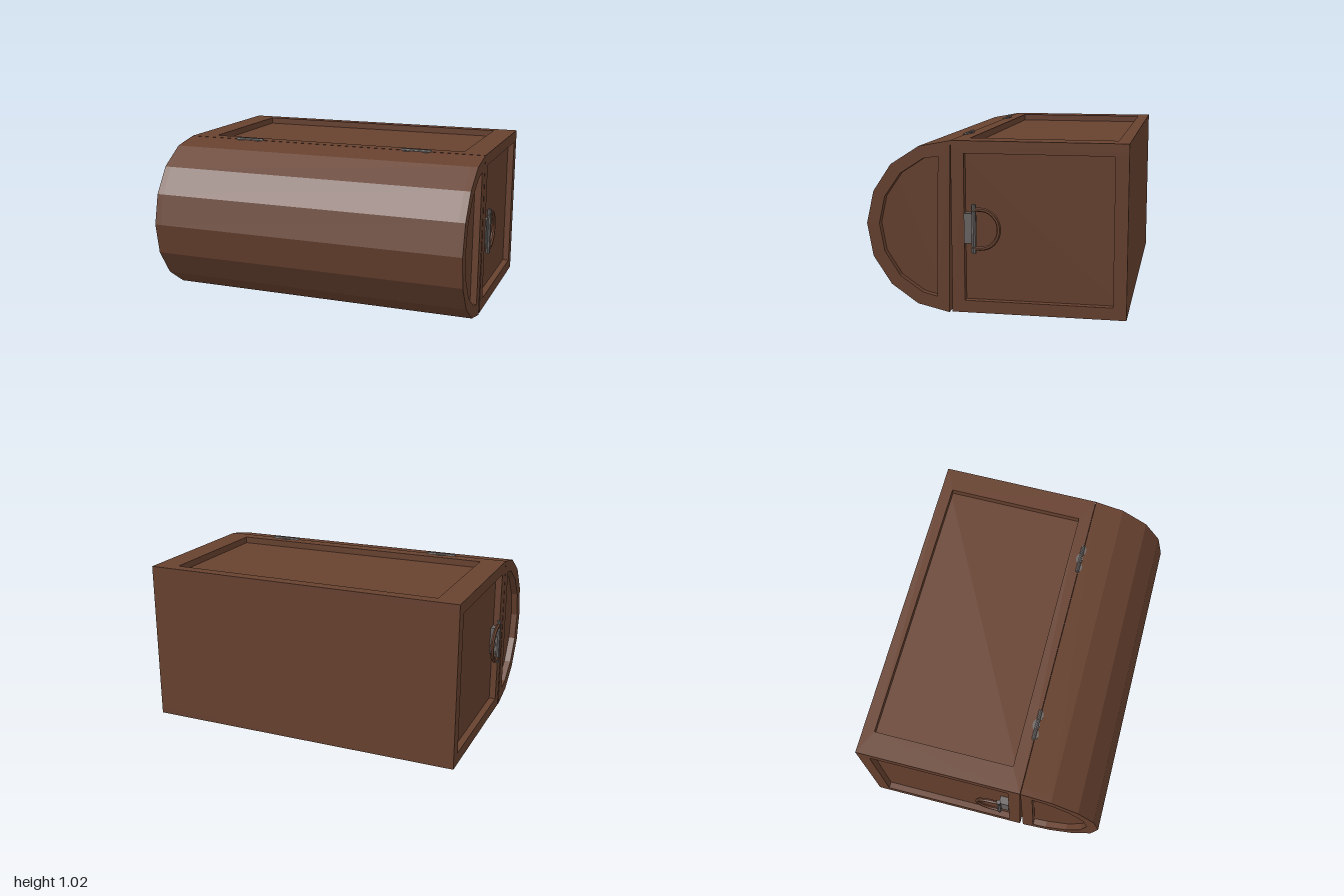
import * as THREE from 'three';

const wood = new THREE.MeshStandardMaterial({ color: 0x67412f, flatShading: true });
wood.name = 'brown wood';
const metal = new THREE.MeshStandardMaterial({ color: 0x6b6664, flatShading: true });
metal.name = 'grey metal';
const dark = new THREE.MeshStandardMaterial({ color: 0x2e1c15, flatShading: true });
dark.name = 'dark keyhole';

const HX = 0.975, INSET = 0.04; // half width and panel recess depth

function add(parent, name, geo, mat, x = 0, y = 0, z = 0) {
  const m = new THREE.Mesh(geo, mat);
  m.name = name;
  m.position.set(x, y, z);
  parent.add(m);
  return m;
}

const rect = (x0, y0, x1, y1) => [[x0, y0], [x1, y0], [x1, y1], [x0, y1]];

function extrude(points, depth, hole) {
  const vec = (p) => p.map(([a, b]) => new THREE.Vector2(a, b));
  const shape = new THREE.Shape(vec(points));
  if (hole) shape.holes.push(new THREE.Path(vec(hole)));
  return new THREE.ExtrudeGeometry(shape, { depth, bevelEnabled: false, curveSegments: 12 });
}

// Extrudes a (z, y) outline along x, from x0 to x1
const alongX = (points, x0, x1, hole) =>
  extrude(points, x1 - x0, hole).rotateY(-Math.PI / 2).translate(x1, 0, 0);

// Extrudes an (x, -z) outline upwards, from y0 to y1
const alongY = (points, y0, y1, hole) =>
  extrude(points, y1 - y0, hole).rotateX(-Math.PI / 2).translate(0, y0, 0);

function createBody() {
  const g = new THREE.Group();
  g.name = 'chestBody';
  const y0 = 0.03, y1 = 1.005, z0 = -0.74, z1 = 0.243;
  const core = rect(z0, y0 + INSET, z1, y1 - INSET);
  add(g, 'bodyCore', alongX(core, -HX + INSET, HX - INSET), wood);

  // Raised frames around the recessed panels
  const outer = rect(-HX, -z1, HX, -z0), hole = rect(-0.83, -0.165, 0.83, 0.67);
  add(g, 'upperFrame', alongY(outer, y1 - INSET, y1, hole), wood);
  add(g, 'lowerFrame', alongY(outer, y0, y0 + INSET, hole), wood);
  const sideHole = rect(-0.665, 0.1, 0.17, 0.935);
  add(g, 'leftFrame', alongX(core, HX - INSET, HX, sideHole), wood);
  add(g, 'rightFrame', alongX(core, -HX, -HX + INSET, sideHole), wood);
  return g;
}

function createLid() {
  const g = new THREE.Group();
  g.name = 'lid';
  const outline = [[0.262, 0.025], [0.445, 0.067], [0.6, 0.175], [0.705, 0.335], [0.738, 0.525],
    [0.695, 0.71], [0.59, 0.865], [0.425, 0.97], [0.245, 1.004]];
  const panel = [[0.332, 0.115], [0.415, 0.135], [0.547, 0.225], [0.637, 0.365], [0.665, 0.525],
    [0.63, 0.68], [0.535, 0.815], [0.4, 0.902], [0.315, 0.915]];
  add(g, 'lidCore', alongX(outline, -HX + INSET, HX - INSET), wood);
  add(g, 'lidLeftRim', alongX(outline, HX - INSET, HX, panel), wood);
  add(g, 'lidRightRim', alongX(outline, -HX, -HX + INSET, panel), wood);
  // Inner lip seen through the narrow opening
  add(g, 'innerLip', alongX([[0.243, 0.1], [0.262, 0.03], [0.247, 0.82]], -0.9, 0.9), wood);
  return g;
}

function createHinge(x) {
  const g = new THREE.Group();
  g.name = 'hinge';
  const barrel = (r, len) => new THREE.CylinderGeometry(r, r, len, 8).rotateZ(Math.PI / 2);
  add(g, 'hingePin', barrel(0.008, 0.19), metal);
  for (const dx of [-0.06, 0, 0.06]) add(g, 'hingeKnuckle', barrel(0.011, 0.055), metal, dx);
  // Rounded leaves: one on the body, two on the lid
  const leaf = (r) => new THREE.CylinderGeometry(r, r, 0.008, 12).scale(1, 1, 0.6);
  add(g, 'bodyLeaf', leaf(0.035), metal, 0, 0, -0.005);
  for (const dx of [-0.06, 0.06]) add(g, 'lidLeaf', leaf(0.03), metal, dx, -0.003, 0.006);
  g.position.set(x, 1.005, 0.238);
  return g;
}

function createHandle(side) {
  const g = new THREE.Group();
  g.name = side > 0 ? 'leftHandle' : 'rightHandle';
  const cy = 0.515;
  add(g, 'handlePlate', new THREE.BoxGeometry(0.05, 0.17, 0.06), metal, side * 0.957, cy, 0.14);
  add(g, 'handleBar', new THREE.CylinderGeometry(0.009, 0.009, 0.28, 8), metal, side * 0.985, cy, 0.112);
  add(g, 'handleSleeve', new THREE.CylinderGeometry(0.014, 0.014, 0.2, 8), metal, side * 0.985, cy, 0.112);
  for (const s of [-1, 1]) {
    add(g, 'handleCollar', new THREE.CylinderGeometry(0.014, 0.014, 0.03, 8), metal,
      side * 0.985, cy + s * 0.122, 0.112);
  }
  // Curved grip hanging from the bar
  const pts = [new THREE.Vector3(side * 0.985, cy + 0.11, 0.112)];
  for (let i = 0; i <= 10; i++) {
    const a = (i / 10) * Math.PI;
    pts.push(new THREE.Vector3(side * 0.986, cy + Math.cos(a) * 0.11, 0.075 - Math.sin(a) * 0.105));
  }
  pts.push(new THREE.Vector3(side * 0.985, cy - 0.11, 0.112));
  add(g, 'handleGrip', new THREE.TubeGeometry(new THREE.CatmullRomCurve3(pts), 24, 0.012, 6), wood);
  return g;
}

function createLatch() {
  const g = new THREE.Group();
  g.name = 'latch';
  // Shield plate: straight towards the lid, rounded at the other end
  const outline = [[-0.125, -0.23], [0.125, -0.23]];
  for (let i = 0; i <= 10; i++) {
    const a = (i / 10) * Math.PI;
    outline.push([Math.cos(a) * 0.125, -0.125 + Math.sin(a) * 0.095]);
  }
  add(g, 'latchPlate', alongY(outline, 0, 0.034), metal);
  add(g, 'keyholeRound', new THREE.CylinderGeometry(0.017, 0.017, 0.004, 10), dark, 0, 0.001, 0.115);
  add(g, 'keyholeSlot', new THREE.BoxGeometry(0.016, 0.004, 0.05), dark, 0, 0.001, 0.14);
  return g;
}

export function createModel() {
  const model = new THREE.Group();
  model.name = 'chest';
  model.add(createBody(), createLid(), createLatch());
  for (const s of [-1, 1]) model.add(createHinge(s * 0.555), createHandle(s));
  return model;
}
